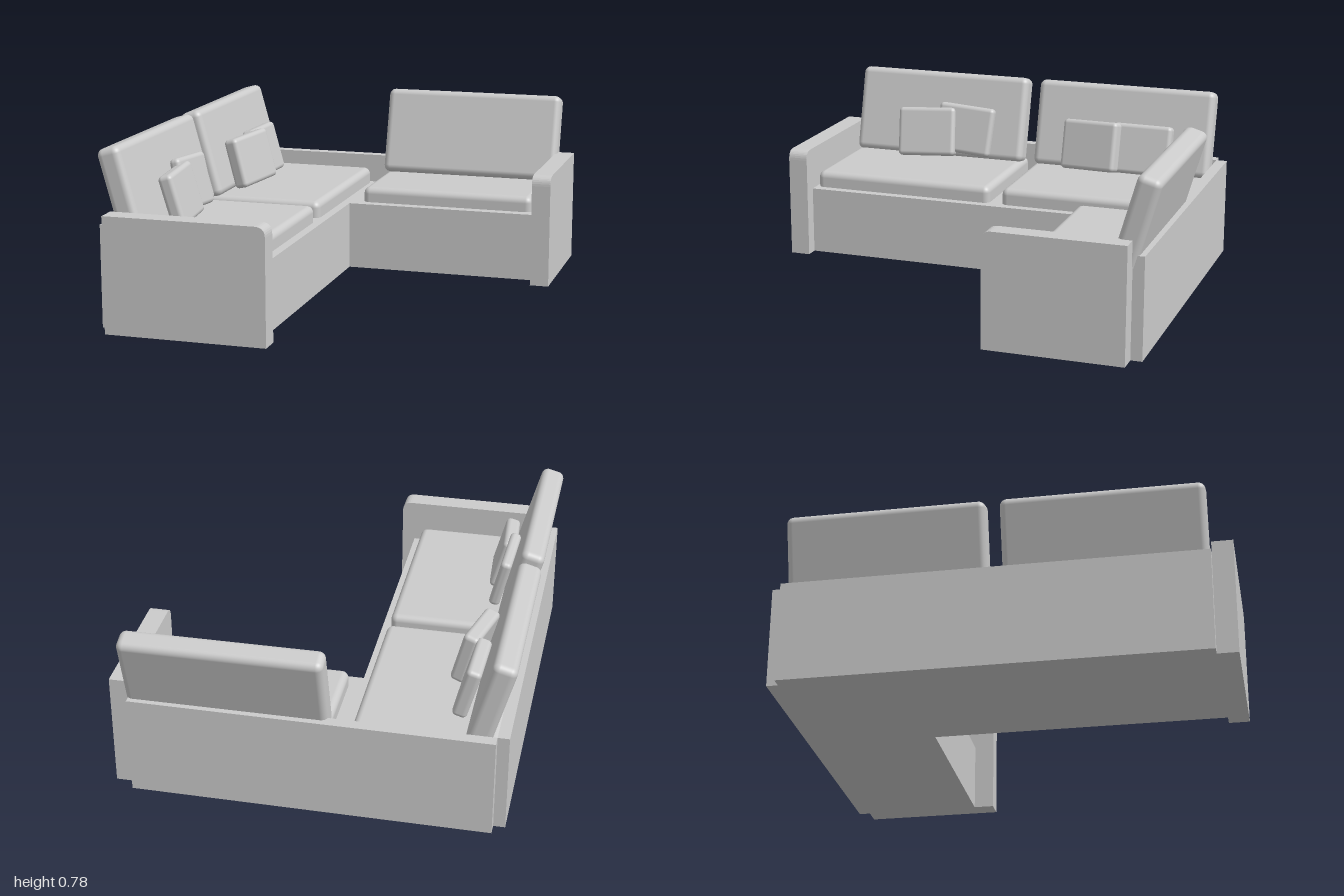
import * as THREE from 'three';
import { RoundedBoxGeometry } from 'three/addons/geometries/RoundedBoxGeometry.js';

const material = new THREE.MeshStandardMaterial({ color: 0xcccccc });

export function createModel() {
  const sofa = new THREE.Group();
  sofa.name = 'cornerSofa';

  const add = (name, geometry, x = 0, y = 0, z = 0) => {
    const mesh = new THREE.Mesh(geometry, material);
    mesh.name = name;
    mesh.position.set(x, y, z);
    sofa.add(mesh);
    return mesh;
  };
  // Sharp-edged panel standing on the floor, given by its footprint
  const panel = (name, x0, x1, z0, z1, h) =>
    add(name, new THREE.BoxGeometry(x1 - x0, h, z1 - z0), (x0 + x1) / 2, h / 2, (z0 + z1) / 2);
  // Soft block given by its size and centre
  const cushion = (name, size, radius, centre) =>
    add(name, new RoundedBoxGeometry(...size, 4, radius), ...centre);

  // L-shaped base
  const plan = new THREE.Shape([
    [-0.78, -0.91], [-0.13, -0.91], [-0.13, 0.37], [0.76, 0.37], [0.76, 0.89], [-0.78, 0.89],
  ].map(([x, y]) => new THREE.Vector2(x, y)));
  const base = add('base', new THREE.ExtrudeGeometry(plan, { depth: 0.31, bevelEnabled: false }));
  base.rotation.x = -Math.PI / 2;

  // Low back panels
  panel('sideBackPanel', -0.83, -0.78, -0.89, 0.91, 0.445);
  panel('rearBackPanel', -0.78, 0.76, -0.94, -0.89, 0.445);

  // Armrests with one rounded upper corner at the open end
  const arm = (name, length, height, thickness, x, z) => {
    const r = 0.045;
    const side = new THREE.Shape();
    side.moveTo(0, 0);
    side.lineTo(length, 0);
    side.lineTo(length, height - r);
    side.quadraticCurveTo(length, height, length - r, height);
    side.lineTo(0, height);
    side.closePath();
    const geometry = new THREE.ExtrudeGeometry(side, { depth: thickness, bevelEnabled: false, curveSegments: 8 });
    return add(name, geometry, x, 0, z);
  };
  arm('frontArm', 0.71, 0.505, 0.09, -0.78, 0.91);
  arm('leftArm', 0.61, 0.51, 0.085, 0.845, -0.89).rotation.y = -Math.PI / 2;

  // Seat and leaning back cushions of the long run
  const lean = 0.27;
  for (const z of [-0.45, 0.47]) {
    cushion('seatCushion', [0.61, 0.12, 0.86], 0.03, [-0.475, 0.325, z]);
    cushion('backCushion', [0.105, 0.41, 0.86], 0.03, [-0.745, 0.57, z]).rotation.z = lean;
  }

  // Seat and back cushion of the short run
  cushion('seatCushion', [0.81, 0.12, 0.45], 0.03, [0.328, 0.32, -0.643]);
  cushion('backCushion', [0.855, 0.41, 0.105], 0.03, [0.343, 0.573, -0.897])
    .rotation.set(-lean - 0.01, 0.005, 0);

  // Loose pillows: thickness, centre, then roll, yaw and lean
  const pillows = [
    [0.065, [-0.627, 0.505, -0.565], [0, -0.03, 0.27]],
    [0.07, [-0.605, 0.51, -0.322], [0.05, -0.23, 0.25]],
    [0.05, [-0.647, 0.525, 0.327], [-0.06, -0.03, 0.24]],
    [0.065, [-0.623, 0.505, 0.512], [0.05, 0.05, 0.27]],
  ];
  for (const [thickness, centre, [roll, yaw, tilt]] of pillows) {
    cushion('pillow', [thickness, 0.235, 0.285], 0.02, centre).rotation.set(roll, yaw, tilt, 'YZX');
  }

  return sofa;
}
